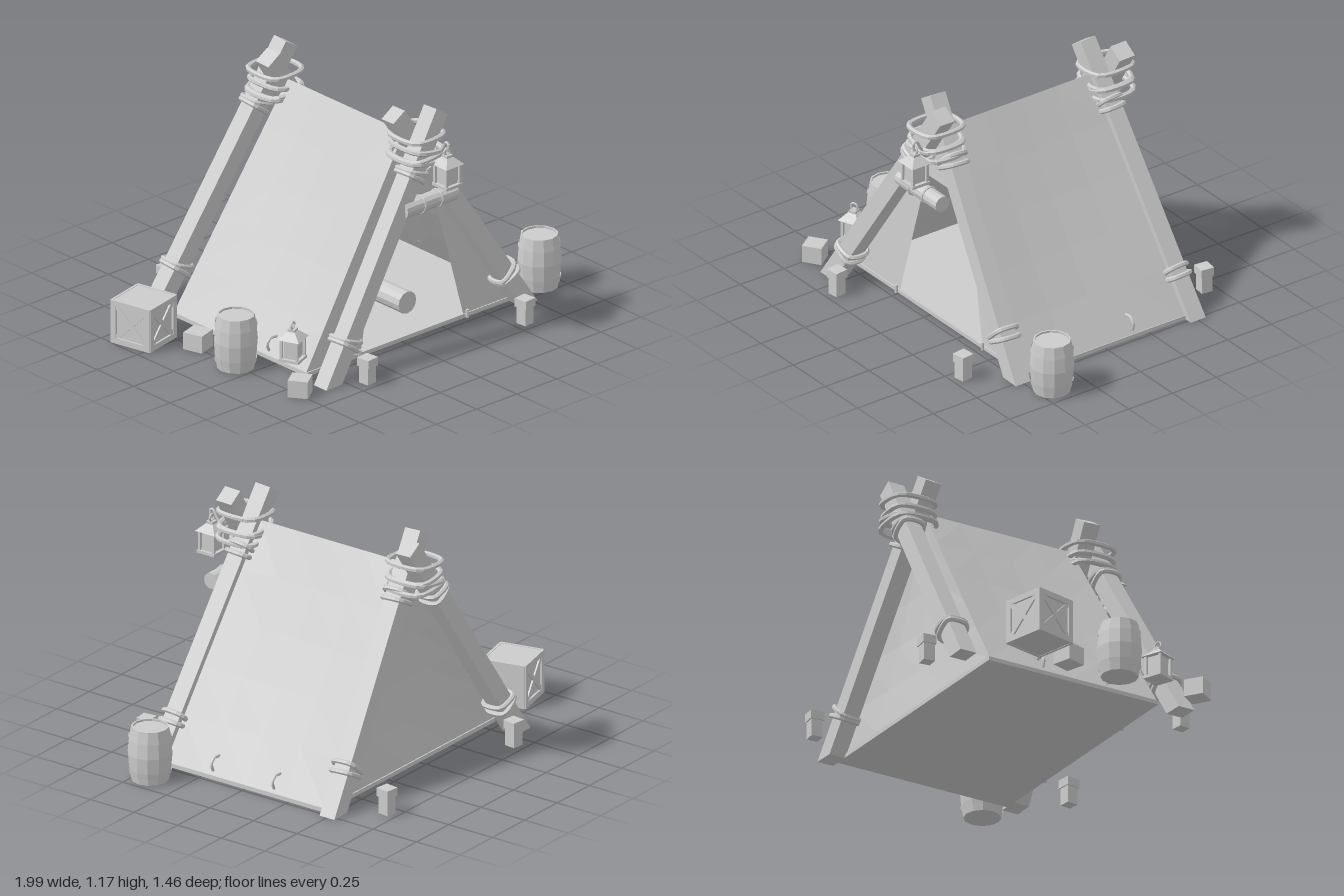
import * as THREE from 'three';

const grey = new THREE.MeshStandardMaterial({ color: 0xcccccc, flatShading: true, side: THREE.DoubleSide });
grey.name = 'plain grey';
const V = (x, y, z) => new THREE.Vector3(x, y, z);

function add(parent, name, geo, x = 0, y = 0, z = 0, ry = 0) {
  const m = new THREE.Mesh(geo, grey);
  m.name = name;
  m.position.set(x, y, z);
  m.rotation.y = ry;
  parent.add(m);
  return m;
}
function group(parent, name, x = 0, y = 0, z = 0, ry = 0) {
  const g = new THREE.Group();
  g.name = name;
  g.position.set(x, y, z);
  g.rotation.y = ry;
  parent.add(g);
  return g;
}
const box = (w, h, d) => new THREE.BoxGeometry(w, h, d);
const tube = (pts, r, closed = false, n = 16) =>
  new THREE.TubeGeometry(new THREE.CatmullRomCurve3(pts, closed), n, r, 6, closed);

// Cloth grid whose points follow a rule of u and v
function sheet(rule, nx = 4, ny = 5) {
  const geo = new THREE.PlaneGeometry(1, 1, nx, ny);
  const p = geo.attributes.position;
  for (let i = 0; i < p.count; i++) {
    const q = rule(p.getX(i) + 0.5, p.getY(i) + 0.5);
    p.setXYZ(i, q.x, q.y, q.z);
  }
  geo.computeVertexNormals();
  return geo;
}

// Frame whose y axis runs from a to b
function frame(a, b) {
  const y = b.clone().sub(a).normalize();
  const x = y.clone().cross(V(0, 0, 1)).normalize();
  return new THREE.Matrix4().makeBasis(x, y, x.clone().cross(y)).setPosition(a);
}

// Square pole with its foot cut level with the ground
function pole(parent, name, a, b) {
  const len = a.distanceTo(b), dir = b.clone().sub(a).normalize();
  const geo = box(0.085, len, 0.085).translate(0, len / 2, 0).applyMatrix4(frame(a, b));
  const p = geo.attributes.position;
  for (let i = 0; i < p.count; i++) {
    const q = V(p.getX(i), p.getY(i), p.getZ(i));
    if (q.y < 0.3) q.addScaledVector(dir, -q.y / dir.y);
    p.setXYZ(i, q.x, q.y, q.z);
  }
  add(parent, name, geo);
}

// Rounded rope loop lying across the y axis
function loop(hx, hz, r = 0.012, tilt = 0) {
  const pts = [[1, 0.7], [0.7, 1], [-0.7, 1], [-1, 0.7], [-1, -0.7], [-0.7, -1], [0.7, -1], [1, -0.7]];
  return tube(pts.map(([x, z]) => V(x * hx, x * tilt, z * hz)), r, true, 24);
}

function lashPole(parent, a, b, y, turns) {
  for (let i = 0; i < turns; i++) {
    const at = a.clone().lerp(b, (y + i * 0.025) / b.y);
    add(parent, 'poleRope', loop(0.056, 0.056, 0.012, i % 2 ? 0.012 : -0.004)
      .applyMatrix4(frame(a, b).setPosition(at)));
  }
}

function barrel(parent, x, z) {
  const g = group(parent, 'barrel', x, 0, z);
  const prof = [[0, 0], [0.088, 0], [0.098, 0.06], [0.104, 0.135], [0.098, 0.205], [0.088, 0.265], [0.08, 0.265], [0.08, 0.255], [0, 0.255]];
  add(g, 'barrelStaves', new THREE.LatheGeometry(prof.map(p => new THREE.Vector2(...p)), 12));
  for (const y of [0.045, 0.22])
    add(g, 'barrelHoop', new THREE.CylinderGeometry(y > 0.1 ? 0.098 : 0.102, y > 0.1 ? 0.102 : 0.098, 0.022, 12, 1, true), 0, y, 0);
}

function crate(parent, x, z, ry) {
  const g = group(parent, 'crate', x, 0, z, ry), s = 0.215;
  add(g, 'crateBody', box(s - 0.012, s - 0.004, s - 0.012), 0, s / 2, 0);
  for (let i = 0; i < 4; i++) {
    const side = group(g, 'crateSide', 0, s / 2, 0, i * Math.PI / 2), d = s / 2 - 0.002;
    for (const k of [-1, 1]) {
      add(side, 'crateRail', box(s, 0.028, 0.012), 0, k * (s / 2 - 0.014), d);
      add(side, 'crateStile', box(0.028, s, 0.012), k * (s / 2 - 0.014), 0, d);
      add(side, 'crateBrace', box(0.23, 0.022, 0.008), 0, 0, d).rotation.z = k * Math.PI / 4;
    }
  }
}

// Lantern with its underside at the given height
function lantern(parent, x, y, z, ry) {
  const g = group(parent, 'lantern', x, y, z, ry);
  const pyramid = (r0, r1, h) => new THREE.CylinderGeometry(r0 * Math.SQRT2, r1 * Math.SQRT2, h, 4).rotateY(Math.PI / 4);
  add(g, 'lanternBase', box(0.1, 0.014, 0.1), 0, 0.007, 0);
  add(g, 'lanternGlass', box(0.066, 0.1, 0.066), 0, 0.062, 0);
  for (const i of [-1, 1]) for (const k of [-1, 1])
    add(g, 'lanternPost', box(0.012, 0.1, 0.012), i * 0.04, 0.062, k * 0.04);
  add(g, 'lanternRoof', pyramid(0.02, 0.056, 0.035), 0, 0.127, 0);
  add(g, 'lanternCap', pyramid(0.018, 0.018, 0.014), 0, 0.15, 0);
  add(g, 'lanternRing', new THREE.TorusGeometry(0.017, 0.005, 6, 12), 0, 0.173, 0);
}

export function createModel() {
  const root = new THREE.Group();
  root.name = 'camp';
  const cx = 0.07, hw = 0.66, top = 1.02, low = 0.015;
  const edgeZ = y => 0.455 - 0.055 * y / top;

  // Tent canvas
  const tent = group(root, 'tent');
  add(tent, 'groundSheet', box(hw * 2, 0.02, 0.92), cx, 0.01, 0);
  for (const s of [-1, 1]) {
    add(tent, 'roofSheet', sheet((u, v) => {
      const y = low + v * (top - low);
      const sag = 0.015 * Math.sin(Math.PI * u) * Math.sin(Math.PI * v);
      return V(cx + s * (hw * (1 - v) - sag), y - sag * 0.6, (u * 2 - 1) * edgeZ(y));
    }));
  }
  add(tent, 'backWall', sheet((u, v) => {
    const y = low + v * (top - low);
    return V(cx + (u * 2 - 1) * hw * (1 - v), y, -edgeZ(y) + 0.03 * Math.sin(Math.PI * u) * Math.sin(Math.PI * v));
  }));
  const front = new THREE.Shape([[cx - hw, low], [-0.25, low], [-0.09, 0.69], [0.23, 0.69], [0.39, low], [cx + hw, low], [cx, top]]
    .map(p => new THREE.Vector2(...p)));
  const wall = new THREE.ShapeGeometry(front), wp = wall.attributes.position;
  for (let i = 0; i < wp.count; i++) wp.setZ(i, edgeZ(wp.getY(i)));
  wall.computeVertexNormals();
  add(tent, 'frontWall', wall);

  // Rolled door flap and its ties
  add(tent, 'rolledFlap', new THREE.CylinderGeometry(0.04, 0.04, 0.32, 12).rotateZ(Math.PI / 2), cx, 0.725, 0.565);
  for (const x of [0.02, 0.125])
    add(tent, 'flapTie', new THREE.TorusGeometry(0.041, 0.006, 6, 14).rotateY(Math.PI / 2), x, 0.725, 0.565);

  // Pegs and side loops
  for (const x of [-0.265, 0.405]) add(tent, 'doorPeg', new THREE.CylinderGeometry(0.008, 0.008, 0.04, 6), x, 0.02, 0.465);
  for (const s of [-1, 1]) for (const z of [0.19, -0.16])
    add(tent, 'sideLoop', tube([V(cx + s * 0.6, 0.1, z), V(cx + s * 0.64, 0.1, z), V(cx + s * 0.66, 0.075, z), V(cx + s * 0.65, 0.04, z)], 0.007));

  // Bedding inside
  add(tent, 'bed', box(0.4, 0.15, 0.2), cx, 0.095, -0.3);
  add(tent, 'bedroll', new THREE.CylinderGeometry(0.055, 0.055, 0.3, 12).rotateX(Math.PI / 2), 0.2, 0.075, 0.13);

  // Crossed pole frames at both ends with their lashings
  for (const s of [1, -1]) {
    const g = group(root, s > 0 ? 'frontFrame' : 'backFrame');
    const a = V(-0.575, 0, s * 0.59), b = V(0.165, 1.145, s * 0.515);
    const c = V(0.72, 0, s * 0.5), d = V(-0.025, 1.145, s * 0.43);
    pole(g, 'rightPole', a, b);
    pole(g, 'leftPole', c, d);
    for (const [p, q] of [[a, b], [c, d]]) {
      lashPole(g, p, q, 0.165, 2);
      lashPole(g, p, q, 0.865, 2);
    }
    for (const [y, hx, tilt] of [[1.045, 0.095, 0.004], [0.98, 0.085, -0.012], [0.955, 0.095, 0.012], [0.93, 0.105, -0.01]])
      add(g, 'crossRope', loop(hx, 0.105, 0.013, tilt), cx, y, s * 0.485);
    // Short stakes beside the frame
    for (const x of [-0.42, 0.56]) {
      const st = group(g, 'stake', x, 0, s * 0.69, 0.12 * s);
      add(st, 'stakeShaft', box(0.056, 0.09, 0.056), 0, 0.045, 0);
      add(st, 'stakeHead', box(0.068, 0.042, 0.068), 0, 0.106, 0);
    }
  }

  // Lanterns, one hung from a hook
  add(root, 'lanternHook', tube([V(0.12, 0.95, 0.58), V(0.12, 0.99, 0.61), V(0.12, 1.03, 0.635), V(0.12, 1.025, 0.65), V(0.12, 0.985, 0.645)], 0.007));
  lantern(root, 0.12, 0.815, 0.642, 0);
  lantern(root, -0.645, 0.095, 0.425, 0.4);

  // Supplies around the tent
  barrel(root, -0.75, 0.15);
  barrel(root, 0.89, 0.425);
  crate(root, -0.865, -0.355, 0.23);
  add(root, 'smallBlock', box(0.1, 0.085, 0.1), -0.74, 0.0425, -0.12, 0.3);
  add(root, 'smallBlock', box(0.095, 0.085, 0.095), -0.74, 0.0425, 0.58, 0.6);
  return root;
}
